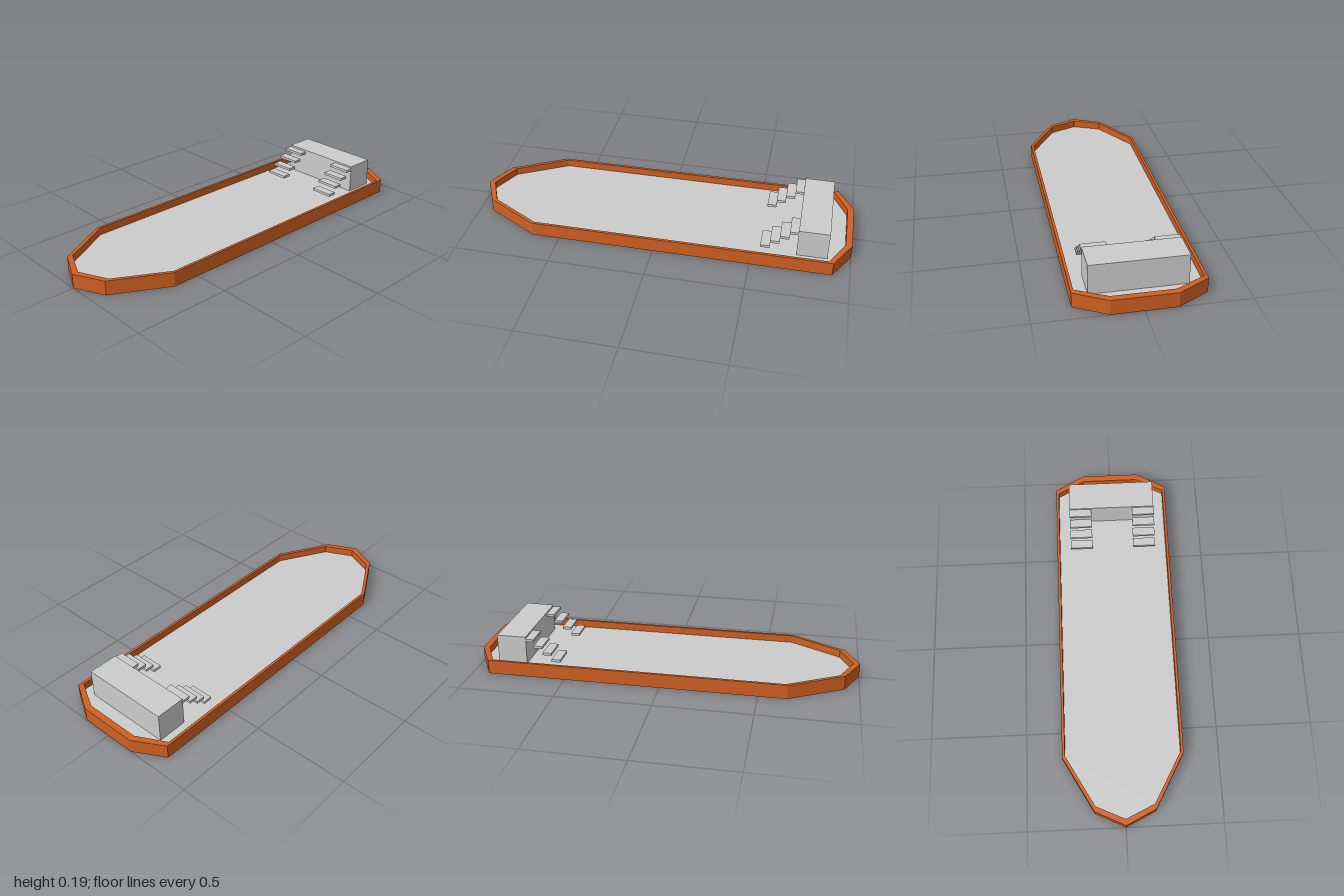
import * as THREE from 'three';

export function createModel() {
  const model = new THREE.Group();
  const material = (name, color) => {
    const m = new THREE.MeshStandardMaterial({ color });
    m.name = name;
    return m;
  };
  const orange = material('hull orange', 0xd06022);
  const grey = material('deck grey', 0xcccccc);

  const add = (name, geometry, mat, parent = model) => {
    const mesh = new THREE.Mesh(geometry, mat);
    mesh.name = name;
    parent.add(mesh);
    return mesh;
  };

  // Plan outlines: bow at -x, squared stern at +x, mirrored across the centreline
  const outline = (bow, side) => [
    ...side.map(([x, z]) => new THREE.Vector2(x, -z)),
    ...[...side].reverse().map(([x, z]) => new THREE.Vector2(x, z)),
    new THREE.Vector2(bow, 0),
  ];
  const outer = outline(-1, [[-0.925, 0.156], [-0.645, 0.312], [0.913, 0.312], [1, 0.156]]);
  const inner = outline(-0.967, [[-0.898, 0.15], [-0.635, 0.298], [0.89, 0.298], [0.967, 0.15]]);

  const hullHeight = 0.075;
  const deckY = 0.036;

  // Hull walls
  const rim = new THREE.Shape(outer);
  rim.holes.push(new THREE.Path(inner));
  add('hullWall',
    new THREE.ExtrudeGeometry(rim, { depth: hullHeight, bevelEnabled: false }).rotateX(-Math.PI / 2),
    orange);

  // Bottom faces down, recessed deck faces up
  add('hullBottom', new THREE.ShapeGeometry(new THREE.Shape(inner)).rotateX(Math.PI / 2), orange);
  add('deck', new THREE.ShapeGeometry(new THREE.Shape(inner)).rotateX(-Math.PI / 2), grey)
    .position.y = deckY;

  // Cabin across the stern
  const cabinTop = 0.187;
  add('cabin', new THREE.BoxGeometry(0.155, cabinTop - deckY, 0.467), grey)
    .position.set(0.805, (cabinTop + deckY) / 2, 0);

  // Floating stair treads on both sides, climbing towards the cabin
  for (const side of [-1, 1]) {
    const stairs = new THREE.Group();
    stairs.name = side > 0 ? 'frontStairs' : 'backStairs';
    model.add(stairs);
    for (let i = 0; i < 4; i++) {
      add('stairTread', new THREE.BoxGeometry(0.047, 0.014, 0.122), grey, stairs)
        .position.set(0.567 + i * 0.047, 0.065 + i * 0.035, side * 0.175);
    }
  }
  return model;
}
